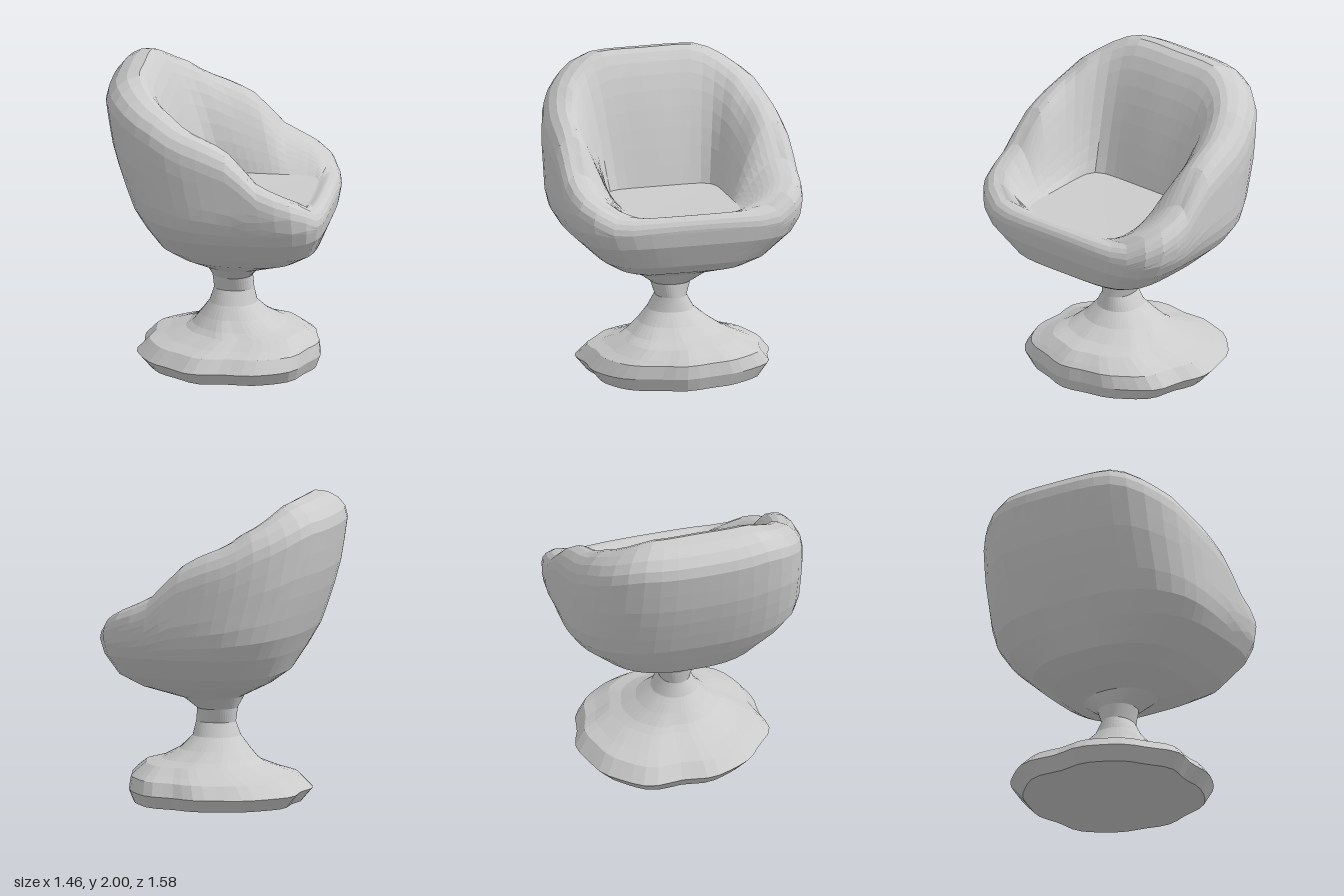
import * as THREE from 'three';

const SIDES = 48;
const clamp01 = (v) => Math.min(1, Math.max(0, v));
const mix = THREE.MathUtils.lerp;

// Piecewise linear lookup: rows are [key, value, value...], keys ascending
function lookup(rows, key) {
  let i = 1;
  while (i < rows.length - 1 && key > rows[i][0]) i++;
  const a = rows[i - 1], b = rows[i];
  const t = clamp01((key - a[0]) / (b[0] - a[0]));
  return a.slice(1).map((v, k) => mix(v, b[k + 1], t));
}

// Point on a rounded-square outline; n = 2 is an ellipse, larger n is squarer
function outline(angle, n, xMin, xMax, halfZ) {
  const c = Math.cos(angle), s = Math.sin(angle);
  const r = Math.pow(Math.abs(c) ** n + Math.abs(s) ** n, -1 / n);
  return [(xMin + xMax) / 2 + ((xMax - xMin) / 2) * c * r, halfZ * s * r];
}

// Surface through columns of points, one column per angle around the y axis
function loft(name, column, material) {
  const cols = [];
  for (let i = 0; i < SIDES; i++) cols.push(column((i / SIDES) * Math.PI * 2));
  const rows = cols[0].length;
  const index = [];
  for (let i = 0; i < SIDES; i++) {
    const next = (i + 1) % SIDES;
    for (let j = 0; j < rows - 1; j++) {
      const a = i * rows + j, b = next * rows + j;
      index.push(a, a + 1, b, b, a + 1, b + 1);
    }
  }
  const geometry = new THREE.BufferGeometry();
  geometry.setAttribute('position', new THREE.Float32BufferAttribute(cols.flat(2), 3));
  geometry.setIndex(index);
  geometry.computeVertexNormals();
  const mesh = new THREE.Mesh(geometry, material);
  mesh.name = name;
  return mesh;
}

// Outer shell by height: y, back x, front x, half depth, squareness of back and front
const SHELL = [
  [0.51, -0.05, 0.21, 0.1, 2, 2], [0.6, -0.06, 0.2, 0.13, 2, 2.2], [0.68, -0.1, 0.27, 0.24, 2.1, 3],
  [0.77, -0.28, 0.53, 0.43, 2.4, 3.8], [0.85, -0.39, 0.65, 0.55, 2.6, 4.2],
  [1.0, -0.48, 0.715, 0.71, 2.7, 4.6], [1.1, -0.54, 0.73, 0.77, 2.8, 4.8],
  [1.2, -0.58, 0.73, 0.79, 2.8, 4.8], [1.5, -0.68, 0.73, 0.79, 2.8, 4.5],
  [1.8, -0.73, 0.73, 0.77, 2.9, 4],
];

// Crest height along x, from the tall back down to the arm ends
const CREST = [
  [-0.58, 1.96], [-0.51, 2], [-0.46, 1.99], [-0.28, 1.84], [-0.2, 1.76], [0, 1.68],
  [0.12, 1.61], [0.3, 1.41], [0.45, 1.34], [0.58, 1.28], [0.64, 1.26], [0.71, 1.19],
];

function crestHeight(x, z) {
  const corner = 0.25 * clamp01(Math.abs(z) - 0.3) * clamp01((-x - 0.25) / 0.2);
  const y = lookup(CREST, x)[0] - corner;
  const frontLip = clamp01((x - 0.45) / 0.12) * clamp01((0.62 - Math.abs(z)) / 0.15);
  return mix(y, 1.19, frontLip);
}

function shellPoint(angle, y) {
  const [x0, x1, hz, nBack, nFront] = lookup(SHELL, y);
  return outline(angle, Math.cos(angle) > 0 ? nFront : nBack, x0, x1, hz);
}

// One column: up the outside, over the crest, down the inside, across the seat
function shellColumn(angle) {
  const c = Math.cos(angle), s = Math.sin(angle);
  const scale = 0.83 + (c > 0 ? 0.08 * c : -0.14 * c * c);
  const roll = 0.18 - (c > 0 ? 0.1 * c : 0);
  let crest = 1.5, x, z;
  for (let k = 0; k < 40; k++) {
    [x, z] = shellPoint(angle, crest - roll);
    crest = mix(crest, crestHeight(x * scale, z * scale), 0.5);
  }
  const shoulder = crest - roll;
  const points = [];
  const heights = [0.51, 0.6, 0.68, 0.77, 0.85, 0.93, 1.0];
  for (let k = 1; k <= 6; k++) heights.push(mix(1.0, shoulder, k / 6));
  for (const y of heights) {
    const [px, pz] = shellPoint(angle, y);
    points.push([px, y, pz]);
  }
  for (let k = 1; k <= 4; k++) {
    const a = (k / 4) * Math.PI / 2;
    const f = 1 - (1 - scale) * (1 - Math.cos(a));
    points.push([x * f, shoulder + roll * Math.sin(a), z * f]);
  }
  // Padded inner wall: meets the seat steeply at the back, softly on one side
  const top = new THREE.Vector3(...points[points.length - 1]);
  const [sx, sz] = outline(angle, 7, -0.13, 0.6, s > 0 ? 0.39 : 0.35);
  const seat = new THREE.Vector3(sx, 1.17, sz);
  const between = (h, v) => new THREE.Vector3(mix(sx, top.x, h), mix(1.17, top.y, v), mix(sz, top.z, h));
  const steep = clamp01(Math.max(0, -c) + 0.7 * Math.max(0, -s));
  const wall = new THREE.CubicBezierCurve3(
    top, between(0.62, 0.97), between(mix(0.35, 0.25, steep), mix(0.1, 0.42, steep)), seat);
  for (const p of wall.getPoints(9).slice(1)) points.push(p.toArray());
  points.push([0.235, 1.165, 0]);
  return points;
}

// Pedestal by height: y, back x, front x, half depth, amount of uneven edge
const PEDESTAL = [
  [0, 0.06, 0.06, 0, 0], [0, -0.47, 0.6, 0.55, 1], [0.085, -0.54, 0.63, 0.62, 1],
  [0.17, -0.46, 0.62, 0.55, 1], [0.2, -0.36, 0.59, 0.47, 1], [0.25, -0.23, 0.53, 0.37, 0.9],
  [0.28, -0.19, 0.42, 0.31, 0.7], [0.34, -0.14, 0.31, 0.23, 0.4], [0.42, -0.08, 0.23, 0.15, 0],
  [0.51, -0.05, 0.21, 0.1, 0], [0.6, -0.06, 0.2, 0.13, 0],
];

function pedestalColumn(angle) {
  return PEDESTAL.map(([y, x0, x1, hz, rough]) => {
    const [x, z] = outline(angle, 2.1, x0, x1, hz);
    const corner = 0.07 * Math.max(0, Math.sin(2 * angle)) ** 2;
    const ripple = 0.02 * Math.sin(angle * 7 + 1) + 0.015 * Math.sin(angle * 11);
    const f = 1 + rough * (corner + ripple);
    return [0.06 + (x - 0.06) * f, y, z * f - 0.035 * rough];
  });
}

export function createModel() {
  const material = new THREE.MeshStandardMaterial({ color: 0xcccccc, flatShading: true });
  const group = new THREE.Group();
  group.name = 'tubChair';
  group.add(loft('seatShell', shellColumn, material));
  group.add(loft('pedestalBase', pedestalColumn, material));
  return group;
}
